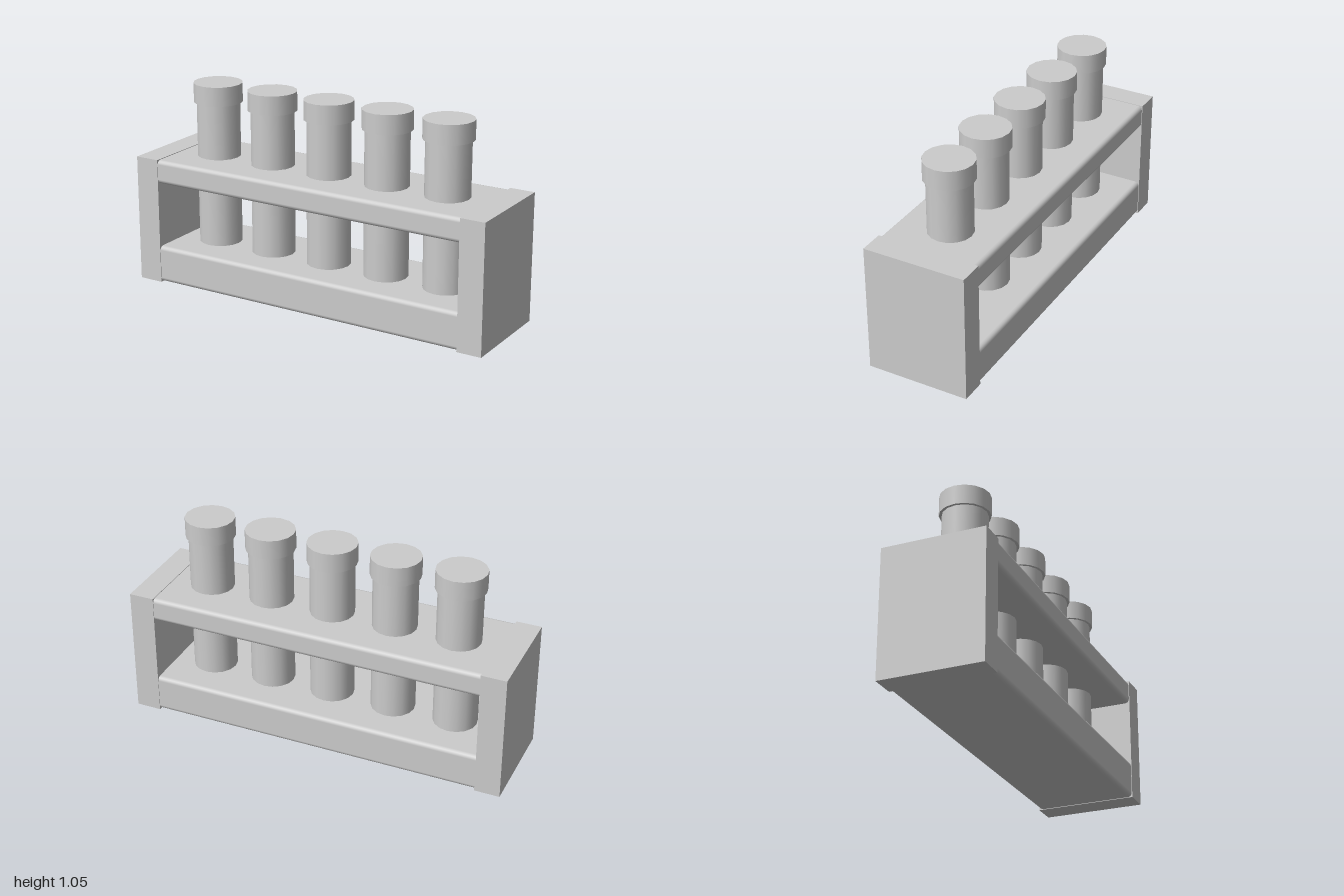
import * as THREE from 'three';
import { RoundedBoxGeometry } from 'three/addons/geometries/RoundedBoxGeometry.js';

export function createModel() {
  const rack = new THREE.Group();
  rack.name = 'testTubeRack';
  const grey = new THREE.MeshStandardMaterial({ color: 0xcccccc });
  grey.name = 'light grey';

  const add = (name, geometry, x, y, z = 0, parent = rack) => {
    const mesh = new THREE.Mesh(geometry, grey);
    mesh.name = name;
    mesh.position.set(x, y, z);
    parent.add(mesh);
    return mesh;
  };

  // Solid end panels
  for (const side of [-1, 1]) {
    add(side > 0 ? 'leftEndPanel' : 'rightEndPanel',
      new THREE.BoxGeometry(0.13, 0.667, 0.532), side * 0.935, 0.3335);
  }

  // Rounded boards, ending inside the panels
  const board = (name, bottom, top) => add(name,
    new RoundedBoxGeometry(1.98, top - bottom, 0.526, 2, 0.022), 0, (bottom + top) / 2);
  board('base', 0.003, 0.197);
  board('upperShelf', 0.54, 0.664);

  // Row of capped tubes standing in the base
  const tubeGeometry = new THREE.CylinderGeometry(0.113, 0.113, 0.82, 16);
  const capGeometry = new THREE.CylinderGeometry(0.127, 0.127, 0.1, 16);
  for (let i = 0; i < 5; i++) {
    const unit = new THREE.Group();
    unit.name = 'cappedTube' + (i + 1);
    unit.position.x = (i - 2) * 0.3335;
    add('tube', tubeGeometry, 0, 0.56, 0, unit);
    add('cap', capGeometry, 0, 1.0, 0, unit);
    rack.add(unit);
  }
  return rack;
}
